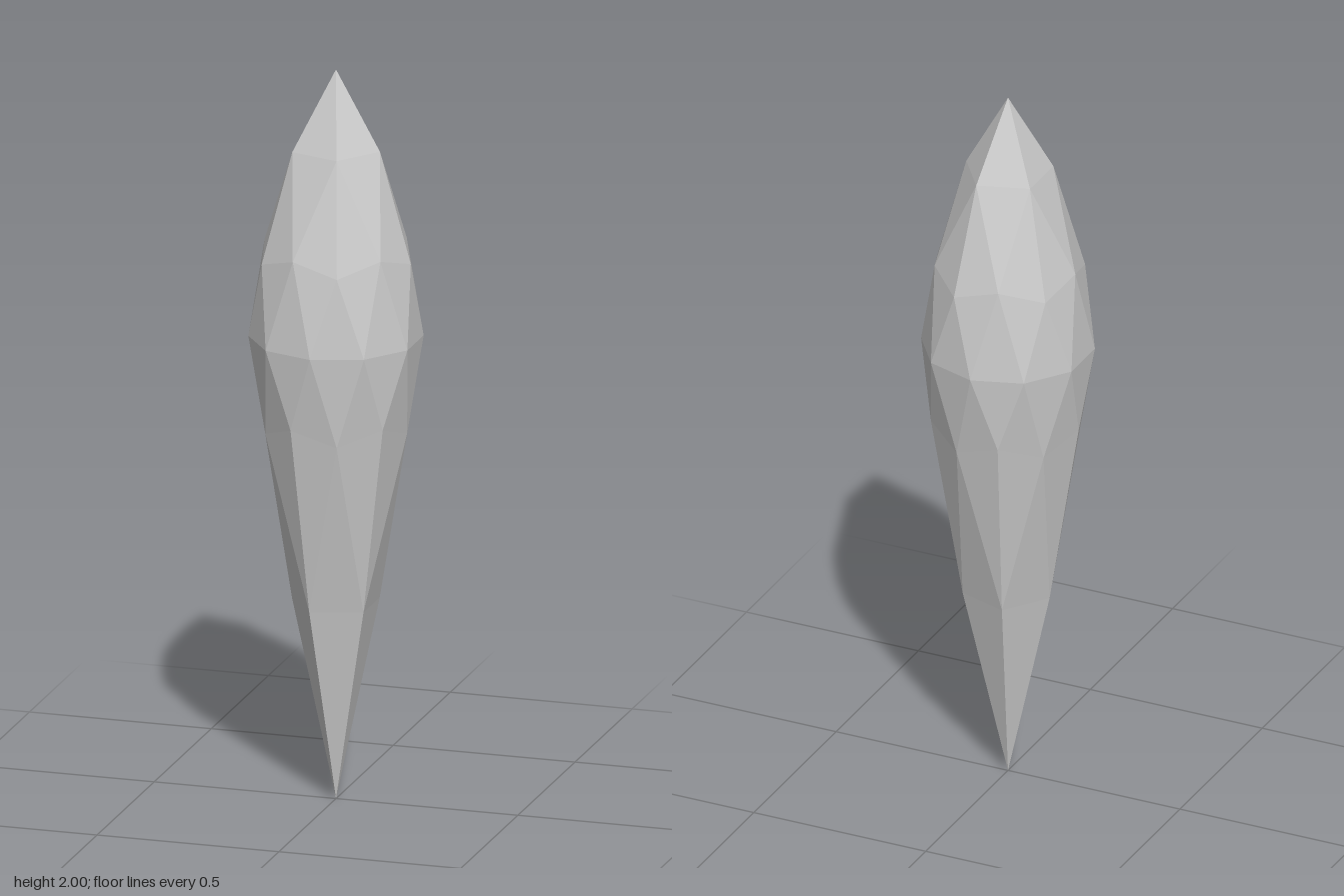
import * as THREE from 'three';

const R = 0.23;

// Point on a horizontal ring; angle is counted in steps of 18 degrees.
const ringPoint = (radius, y, step) => {
  const a = (step * Math.PI) / 10;
  return [radius * Math.cos(a), y, radius * Math.sin(a)];
};

// Half of a stretched geodesic ball, from its pole to the ten-sided waist.
// turn shifts the pattern so the lower half interlocks with the upper one.
function halfCrystal(tipY, capY, cornerY, middleY, waistY, turn) {
  const points = [];
  const tip = [0, tipY, 0];
  const cap = (i) => ringPoint(0.526 * R, capY, turn + 4 * i);
  const shoulder = (i) => i % 2 === 0
    ? ringPoint(0.894 * R, cornerY, turn + 2 * i)
    : ringPoint(0.851 * R, middleY, turn + 2 * i);
  const waist = (i) => ringPoint(R, waistY, turn + 1 + 2 * i);
  const up = tipY > waistY;
  const tri = (a, b, c) => points.push(...a, ...(up ? c : b), ...(up ? b : c));

  for (let i = 0; i < 5; i++) {
    const j = 2 * i;
    tri(tip, cap(i), cap(i + 1));
    tri(cap(i), shoulder(j + 1), cap(i + 1));
    tri(cap(i), shoulder(j), shoulder(j + 1));
    tri(cap(i + 1), shoulder(j + 1), shoulder(j + 2));
  }
  for (let i = 0; i < 10; i++) {
    tri(shoulder(i), waist(i), shoulder(i + 1));
    tri(shoulder(i + 1), waist(i), waist(i + 1));
  }
  const geometry = new THREE.BufferGeometry();
  geometry.setAttribute('position', new THREE.Float32BufferAttribute(
    // Orient every triangle outward from the axis.
    points, 3));
  geometry.computeVertexNormals();
  return geometry;
}

export function createModel() {
  const group = new THREE.Group();
  group.name = 'crystal';
  const material = new THREE.MeshStandardMaterial({ color: 0xcccccc, flatShading: true });

  // Short blunt top
  const top = new THREE.Mesh(halfCrystal(2, 1.785, 1.485, 1.52, 1.27, 0), material);
  top.name = 'crystalTop';

  // Long tapering point
  const point = new THREE.Mesh(halfCrystal(0, 0.54, 1.06, 1.02, 1.27, 2), material);
  point.name = 'crystalPoint';

  group.add(top, point);
  return group;
}
